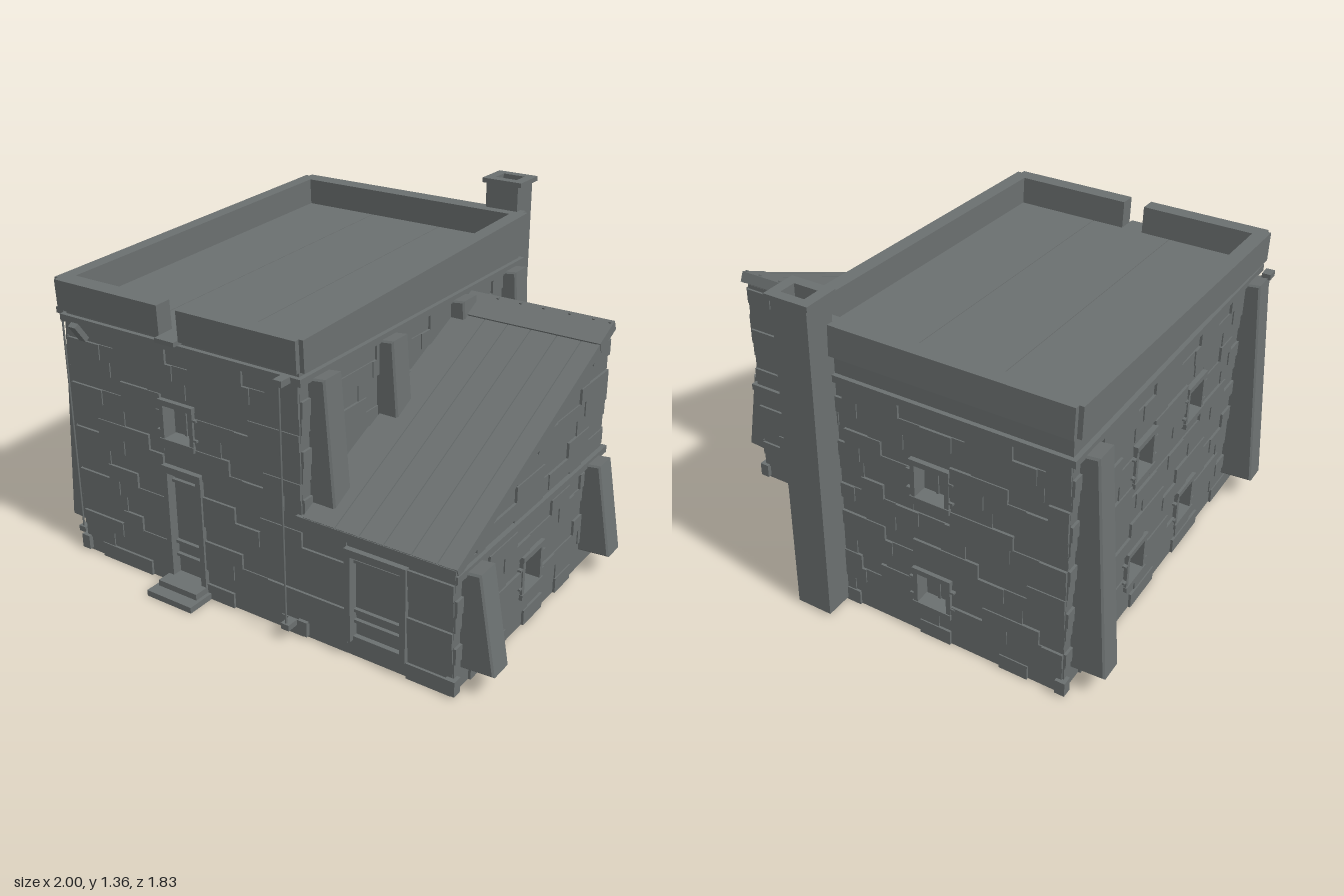
import * as THREE from 'three';
import { mergeGeometries } from 'three/addons/utils/BufferGeometryUtils.js';

const stone = new THREE.MeshStandardMaterial({ color: 0x6b7070 });
stone.name = 'dark grey stone';

let seed = 7;
const rand = () => (seed = (seed * 16807) % 2147483647) / 2147483647;

function add(parent, name, geometry) {
  const mesh = new THREE.Mesh(geometry, stone);
  mesh.name = name;
  parent.add(mesh);
  return mesh;
}

// Box given by its minimum and maximum on each axis
function boxGeo(x0, x1, y0, y1, z0, z1) {
  return new THREE.BoxGeometry(x1 - x0, y1 - y0, z1 - z0)
    .translate((x0 + x1) / 2, (y0 + y1) / 2, (z0 + z1) / 2);
}
const box = (parent, name, ...b) => add(parent, name, boxGeo(...b));

// Courses of slightly uneven stones, leaving the openings free
function stones(parent, span, top, openings) {
  const geos = [], course = 0.0625, depths = [0.001, 0.006, 0.011];
  for (let row = 0; row * course < top - 0.01; row++) {
    const y = row * course, y1 = Math.min(y + course, top);
    const [u0, u1] = span(y1);
    let free = [[u0, u1]], i = 0;
    for (const o of openings) {
      if (o.y0 >= y1 || o.y1 <= y) continue;
      free = free.flatMap(([a, b]) => [[a, Math.min(b, o.u0)], [Math.max(a, o.u1), b]])
        .filter(([a, b]) => b - a > 0.01);
    }
    for (const [a, b] of free) {
      let u = a;
      while (u < b - 0.001) {
        let end = u + 0.09 + rand() * 0.19;
        if (b - end < 0.06) end = b;
        geos.push(boxGeo(u, end, y, y1, -0.01, depths[(row + 2 * (i++ % 2)) % 3]));
        u = end;
      }
    }
  }
  add(parent, 'wallStones', mergeGeometries(geos));
}

// Framed window with a recessed shutter and hinge pins
function windowUnit(parent, { u, y }) {
  const g = new THREE.Group();
  g.name = 'window';
  g.position.set(u, y, 0);
  parent.add(g);
  for (const s of [-1, 1]) {
    box(g, 'windowJamb', s * 0.071 - 0.009, s * 0.071 + 0.009, -0.07, 0.07, -0.05, 0.016);
    for (const h of [-0.04, 0.04]) box(g, 'hingePin', s * 0.088 - 0.009, s * 0.088 + 0.009, h - 0.004, h + 0.004, 0, 0.016);
  }
  box(g, 'windowLintel', -0.083, 0.083, 0.068, 0.09, -0.05, 0.02);
  box(g, 'windowSill', -0.083, 0.083, -0.09, -0.068, -0.05, 0.02);
  box(g, 'shutter', -0.057, 0.057, -0.062, 0.062, -0.05, -0.04);
  box(g, 'mullion', -0.005, 0.005, -0.062, 0.062, -0.04, -0.034);
}

// Framed plank door with battens
function doorUnit(parent, { u, y, w, h }) {
  const g = new THREE.Group();
  g.name = 'door';
  g.position.set(u, y, 0);
  parent.add(g);
  const a = w / 2;
  for (const s of [-1, 1]) box(g, 'doorJamb', s * (a + 0.007) - 0.012, s * (a + 0.007) + 0.012, -0.015, h, -0.04, 0.02);
  box(g, 'doorLintel', -a - 0.019, a + 0.019, h - 0.005, h + 0.024, -0.04, 0.022);
  box(g, 'doorLeaf', -a, a, 0, h, -0.04, -0.02);
  for (const f of [0.18, 0.31, 0.9]) box(g, 'doorBatten', -a + 0.005, a - 0.005, f * h - 0.006, f * h + 0.006, -0.02, -0.005);
}

// Wall in its own frame: u along, y up, outside towards local +z
function wall(parent, name, pos, turn, outline, span, top, windows, door) {
  const g = new THREE.Group();
  g.name = name;
  g.position.set(...pos);
  g.rotation.y = turn;
  parent.add(g);
  const shape = new THREE.Shape(outline.map(p => new THREE.Vector2(...p)));
  const hole = (u0, u1, y0, y1) => shape.holes.push(new THREE.Path(
    [[u0, y0], [u0, y1], [u1, y1], [u1, y0]].map(p => new THREE.Vector2(...p))));
  const openings = [];
  for (const w of windows) {
    hole(w.u - 0.064, w.u + 0.064, w.y - 0.07, w.y + 0.07);
    openings.push({ u0: w.u - 0.08, u1: w.u + 0.08, y0: w.y - 0.085, y1: w.y + 0.085 });
    windowUnit(g, w);
  }
  if (door) {
    const a = door.w / 2;
    hole(door.u - a, door.u + a, door.y, door.y + door.h);
    openings.push({ u0: door.u - a - 0.018, u1: door.u + a + 0.018, y0: 0, y1: door.y + door.h + 0.02 });
    doorUnit(g, door);
  }
  add(g, 'wallCore', new THREE.ExtrudeGeometry(shape, { depth: 0.09, bevelEnabled: false }).translate(0, 0, -0.09));
  stones(g, span, top, openings);
}

// Tapered, chamfered buttress leaning on a side wall; side is +1 or -1
function buttress(parent, wallX, z, side, foot, footOut, height, topOut) {
  const s = new THREE.Shape([[-0.02, foot - 0.01], [footOut, foot], [topOut, height], [-0.02, height - 0.01]].map(p => new THREE.Vector2(...p)));
  const m = add(parent, 'buttress', new THREE.ExtrudeGeometry(s, {
    depth: 0.091, bevelThickness: 0.007, bevelSize: 0.007, bevelOffset: -0.007, bevelSegments: 1,
  }).translate(0, 0, -0.0455));
  m.position.set(wallX, 0, z);
  if (side < 0) m.rotation.y = Math.PI;
}

function pipe(parent, x, z) {
  const p = add(parent, 'downpipe', new THREE.CylinderGeometry(0.004, 0.004, 0.97, 8));
  p.position.set(x, 0.54, z + 0.005);
  for (const y of [0.06, 1.02]) box(parent, 'pipeEnd', x - 0.018, x + 0.018, y - 0.012, y + 0.012, z - 0.035, z + 0.015);
}

export function createModel() {
  const model = new THREE.Group();
  model.name = 'stoneHouse';
  const L = -0.86, R = 0.24, F = 0.78, E = 0.86, B = -0.34, cx = -0.31;

  // Main block walls
  const rect = (a, b, h) => [[a, 0], [b, 0], [b, h], [a, h]];
  wall(model, 'frontWall', [0, 0, F], 0, rect(L, R, 1.048), () => [L, R], 1, [{ u: -0.32, y: 0.705 }], { u: -0.31, y: 0.05, w: 0.15, h: 0.45 });
  wall(model, 'backWall', [0, 0, -F], Math.PI, rect(-R, -L, 1.105), () => [-R, -L], 1, [{ u: 0.32, y: 0.705 }, { u: 0.32, y: 0.22 }]);
  wall(model, 'leftWall', [L, 0, 0], -Math.PI / 2, [[-0.69, 0], [0.69, 0], [0.69, 1.053], [-0.69, 1.104]], () => [-F, F], 1,
    [-0.24, 0.2].flatMap(u => [{ u, y: 0.705 }, { u, y: 0.22 }]));
  wall(model, 'rightWall', [R, 0, 0], Math.PI / 2, [[-0.69, 0], [0.69, 0], [0.69, 1.104], [-0.69, 1.053]], () => [-F, F], 1, []);
  box(model, 'mainLedge', L - 0.018, R + 0.018, 1.0, 1.028, F - 0.02, F + 0.018);
  box(model, 'mainLedge', L - 0.018, R + 0.018, 1.0, 1.028, -F - 0.018, -F + 0.02);
  for (const x of [L, R]) box(model, 'mainLedge', x - 0.018, x + 0.018, 1.0, 1.028, -F + 0.02, F - 0.02);

  // Sloping flat roof, sunk behind a parapet with a drain notch
  const roof = new THREE.Group();
  roof.name = 'mainRoof';
  roof.position.set(cx, 1.08, 0);
  roof.rotation.x = Math.atan(0.06 / 1.62);
  model.add(roof);
  for (let i = 0; i < 3; i++) {
    const x = -0.525 + i * 0.35;
    box(roof, 'roofPanel', x + 0.0015, x + 0.3485, -0.03, 0.006, -0.75, 0.75);
  }
  box(roof, 'roofDeck', -0.53, 0.53, -0.045, 0, -0.76, 0.76);
  for (const s of [-1, 1]) box(roof, 'sideParapet', s * 0.55 - 0.03, s * 0.55 + 0.03, 0, 0.12, -0.79, 0.79);
  box(roof, 'backParapet', -0.562, 0.562, 0, 0.12, -0.81, -0.74);
  box(roof, 'frontParapet', -0.562, -0.05, 0, 0.12, 0.74, 0.81);
  box(roof, 'frontParapet', 0.04, 0.562, 0, 0.12, 0.74, 0.81);
  box(roof, 'drainSpout', -0.05, 0.04, -0.012, 0.006, 0.74, 0.835);

  // Lean-to walls
  wall(model, 'annexFront', [0, 0, F], 0, rect(R, E, 0.475), () => [R, E], 0.47, [], { u: 0.555, y: 0.08, w: 0.215, h: 0.34 });
  wall(model, 'annexBack', [0, 0, B], Math.PI, rect(-E, -R, 0.963), () => [-E, -R], 0.955, []);
  wall(model, 'annexSide', [E, 0, 0], Math.PI / 2, [[-0.69, 0], [0.25, 0], [0.25, 0.93], [-0.69, 0.52]],
    y => [-F + Math.max(0, (y - 0.508) / 0.44), -B], 0.95, [{ u: -0.235, y: 0.22 }]);
  box(model, 'annexBand', E - 0.01, E + 0.02, 0.455, 0.483, B - 0.02, F + 0.018);
  box(model, 'annexBand', R, E + 0.02, 0.455, 0.483, B - 0.02, B + 0.01);
  box(model, 'eaveBoard', R - 0.015, E + 0.012, 0.47, 0.505, F - 0.02, 0.8);

  // Lean-to roof, local z runs down the slope
  const shed = new THREE.Group();
  shed.name = 'annexRoof';
  shed.position.set(0, 0.75, 0.225);
  shed.rotation.x = Math.atan2(0.5, 1.15);
  model.add(shed);
  const half = 0.622, seams = [0.25, 0.39, 0.49, 0.59, 0.7, 0.8, 0.868];
  box(shed, 'annexDeck', R, 0.868, -0.03, -0.002, -half, half);
  for (let i = 0; i < 6; i++) {
    box(shed, 'roofPlank', seams[i] + 0.002, seams[i + 1] - 0.002, -0.004, 0.006, -half, half);
    box(shed, 'ridgePin', seams[i + 1] - 0.007, seams[i + 1] + 0.003, 0.006, 0.018, -half + 0.005, -half + 0.015);
  }
  box(shed, 'vergeBoard', 0.862, 0.876, -0.032, 0.008, -half, half);
  box(shed, 'ridgeCap', R, 0.878, -0.03, 0.012, -half - 0.004, -half + 0.13);

  // Buttresses: full height ones, those rising out of the lean-to roof, and low ones
  for (const z of [-0.68, 0.68]) buttress(model, L, z, -1, 0.095, 0.14, 1.015, 0.068);
  buttress(model, R, -0.68, 1, 0.095, 0.14, 1.015, 0.068);
  for (const [z, foot] of [[-0.25, 0.9], [0.26, 0.68], [0.68, 0.5]])
    buttress(model, R, z, 1, foot, 0.068 + (1.015 - foot) * 0.078, 1.015, 0.068);
  for (const z of [-0.24, 0.685]) buttress(model, E, z, 1, 0.095, 0.135, 0.475, 0.07);

  // Footing stones at the corners
  for (const [x, z] of [[L, F], [R, F], [E, F], [L, -F], [R, -F], [E, B]])
    box(model, 'cornerFooting', x - 0.02, x + 0.02, 0.01, 0.07, z - 0.02, z + 0.02);

  // Hollow chimney and its cap
  const ring = (x0, x1, z0, z1, y0, y1, name) => {
    box(model, name, x0, 0.1, y0, y1, z0, z1);
    box(model, name, 0.2, x1, y0, y1, z0, z1);
    box(model, name, 0.1, 0.2, y0, y1, z0, -0.88);
    box(model, name, 0.1, 0.2, y0, y1, -0.81, z1);
  };
  ring(0.075, 0.225, -0.905, -0.775, 0.01, 1.335, 'chimney');
  ring(0.058, 0.242, -0.92, -0.768, 1.335, 1.355, 'chimneyCap');

  // Door steps, downpipes and wall spouts
  box(model, 'lowerStep', -0.42, -0.2, 0, 0.025, F, 0.91);
  box(model, 'upperStep', -0.405, -0.215, 0.025, 0.05, F, 0.86);
  pipe(model, 0.2, 0.835);
  pipe(model, -0.92, 0.745);
  for (const [x, z, s] of [[-0.76, 0.82, 1], [0.135, -0.82, -1]]) {
    const spout = add(model, 'wallSpout', new THREE.BoxGeometry(0.036, 0.085, 0.022));
    spout.position.set(x, 0.985, z);
    spout.rotation.x = s * 0.6;
  }
  return model;
}
